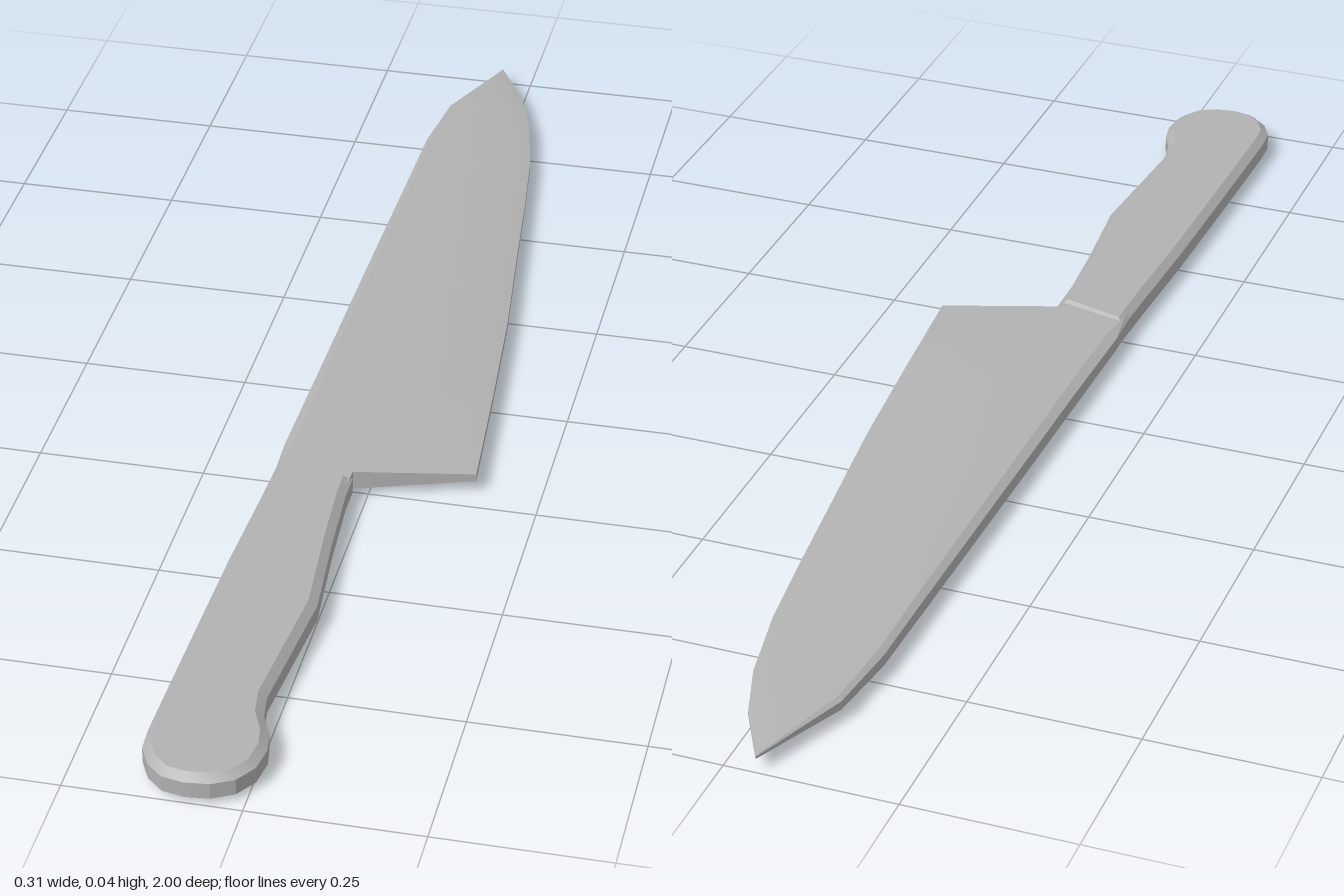
import * as THREE from 'three';
import { toCreasedNormals } from 'three/addons/utils/BufferGeometryUtils.js';

const grey = new THREE.MeshStandardMaterial({ color: 0xb2b2b2 });
grey.name = 'grey';

// Blade: lofted from cross-sections running from the handle to the tip.
function bladeGeometry() {
  // spine x, spine z, edge x, edge z, half thickness, half thickness at the edge
  const stations = [
    [-0.133, 0.31, -0.026, 0.31, 0.015, 0.013],
    [-0.136, 0.26, -0.022, 0.255, 0.016, 0.015],
    [-0.138, 0.2, 0.153, 0.21, 0.0165, 0.006],
    [-0.134, 0, 0.136, 0, 0.0185, 0.006],
    [-0.131, -0.2, 0.118, -0.2, 0.018, 0.006],
    [-0.127, -0.43, 0.094, -0.4, 0.017, 0.006],
    [-0.124, -0.6, 0.077, -0.55, 0.016, 0.005],
    [-0.122, -0.73, 0.059, -0.69, 0.014, 0.005],
    [-0.108, -0.85, 0.033, -0.82, 0.011, 0.004],
    [-0.078, -0.925, 0.002, -0.91, 0.007, 0.003],
    [-0.048, -1, -0.047, -1, 0.002, 0.001],
  ];
  const midY = 0.0245;
  const across = [0, 0.05, 0.4, 0.9, 1];
  const positions = [], index = [], n = across.length * 2;
  for (const [sx, sz, ex, ez, h, e] of stations) {
    const heights = [h * 0.6, h, h * 0.95, e + (h - e) * 0.35, e];
    const point = (k, side) => positions.push(
      sx + (ex - sx) * across[k], midY + side * heights[k], sz + (ez - sz) * across[k]);
    for (let k = 0; k < across.length; k++) point(k, 1);
    for (let k = across.length - 1; k >= 0; k--) point(k, -1);
  }
  for (let i = 0; i < stations.length - 1; i++) {
    for (let j = 0; j < n; j++) {
      const a = i * n + j, b = i * n + (j + 1) % n;
      index.push(a, b, a + n, b, b + n, a + n);
    }
  }
  // close both ends
  const last = (stations.length - 1) * n;
  for (let j = 1; j < n - 1; j++) {
    index.push(0, j + 1, j, last, last + j, last + j + 1);
  }
  const g = new THREE.BufferGeometry();
  g.setAttribute('position', new THREE.Float32BufferAttribute(positions, 3));
  g.setIndex(index);
  return toCreasedNormals(g, 0.35);
}

// Handle: outline seen from above, extruded with a chamfer.
function handleGeometry() {
  const outline = [
    [-0.135, 0.235], [-0.02, 0.265], [-0.02, 0.31], [-0.012, 0.43], [0.002, 0.58],
    [-0.016, 0.8], [-0.01, 0.84], [0.006, 0.875], [0.012, 0.91], [0.006, 0.95],
    [-0.014, 0.98], [-0.045, 0.996], [-0.08, 1], [-0.112, 0.994], [-0.137, 0.972],
    [-0.153, 0.94], [-0.155, 0.9], [-0.152, 0.75], [-0.146, 0.5], [-0.138, 0.32],
  ];
  const shape = new THREE.Shape(outline.map(([x, z]) => new THREE.Vector2(x, z)));
  const g = new THREE.ExtrudeGeometry(shape, {
    depth: 0.024, bevelEnabled: true, bevelSegments: 1,
    bevelThickness: 0.01, bevelSize: 0.012, bevelOffset: -0.012,
  });
  g.rotateX(Math.PI / 2).translate(0, 0.034, 0);
  return toCreasedNormals(g, 0.35);
}

export function createModel() {
  const group = new THREE.Group();
  group.name = 'kitchenKnife';
  const add = (name, geometry) => {
    const mesh = new THREE.Mesh(geometry, grey);
    mesh.name = name;
    group.add(mesh);
  };
  add('blade', bladeGeometry());
  add('handle', handleGeometry());
  return group;
}
